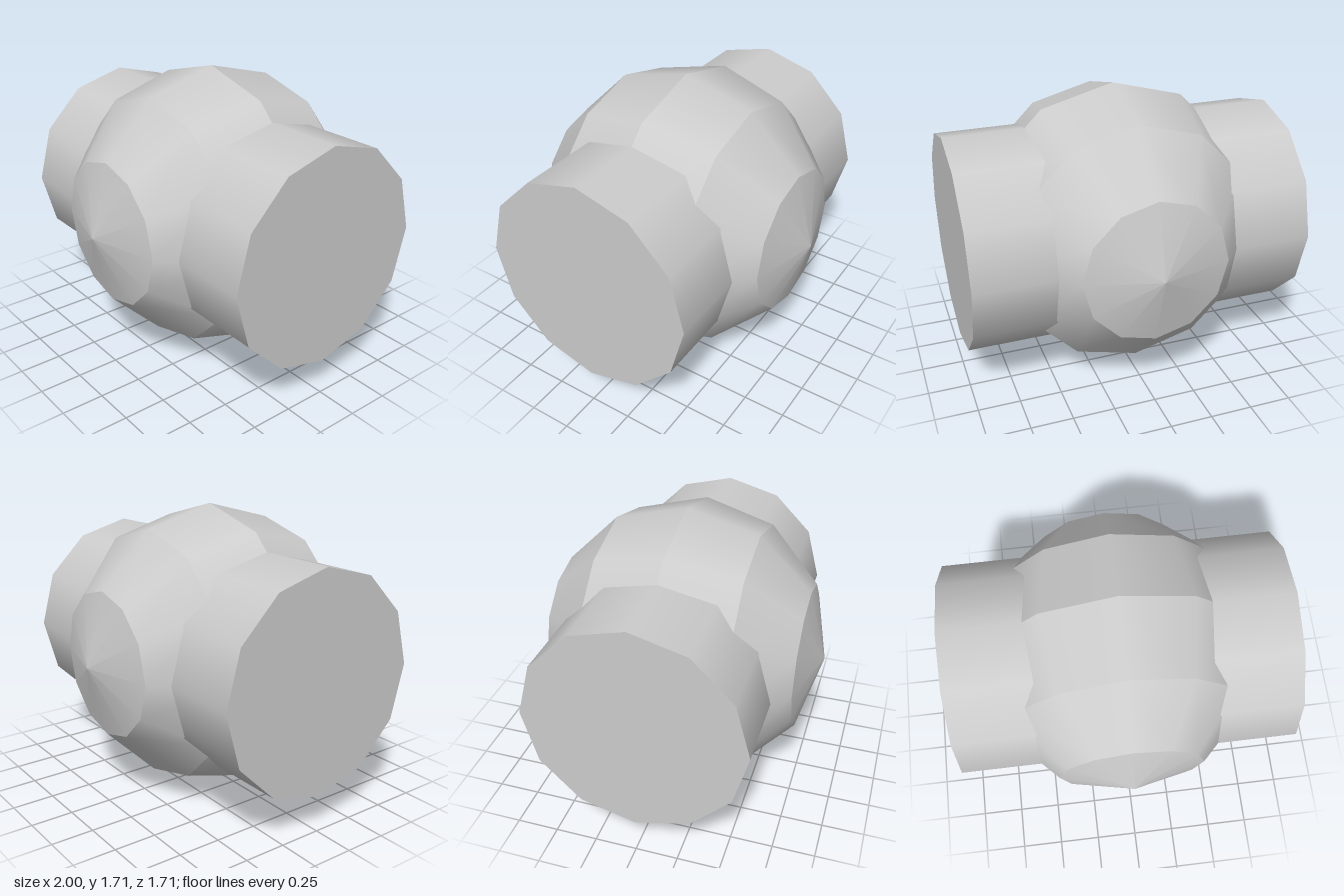
import * as THREE from 'three';

export function createModel() {
  const model = new THREE.Group();
  const grey = new THREE.MeshStandardMaterial({ color: 0xcccccc });
  grey.name = 'light grey';
  const R = 0.857, SIDES = 12, RINGS = 6;

  // Ball body with poles on z: separate bands, smooth around, creased between
  const body = new THREE.Group();
  body.name = 'ballBody';
  const profilePoint = (i) => {
    const a = (i / RINGS) * Math.PI;
    return new THREE.Vector2(Math.max(0, R * Math.sin(a)), -R * Math.cos(a));
  };
  for (let i = 0; i < RINGS; i++) {
    const band = new THREE.LatheGeometry([profilePoint(i), profilePoint(i + 1)], SIDES);
    band.rotateX(Math.PI / 2);
    const mesh = new THREE.Mesh(band, grey);
    mesh.name = 'bodyBand' + (i + 1);
    body.add(mesh);
  }
  body.position.y = R;
  model.add(body);

  // Capped pipe running through the ball from side to side
  const pipe = new THREE.Mesh(new THREE.CylinderGeometry(0.643, 0.643, 2, SIDES), grey);
  pipe.name = 'pipe';
  pipe.rotation.z = Math.PI / 2;
  pipe.position.y = R;
  model.add(pipe);

  return model;
}
